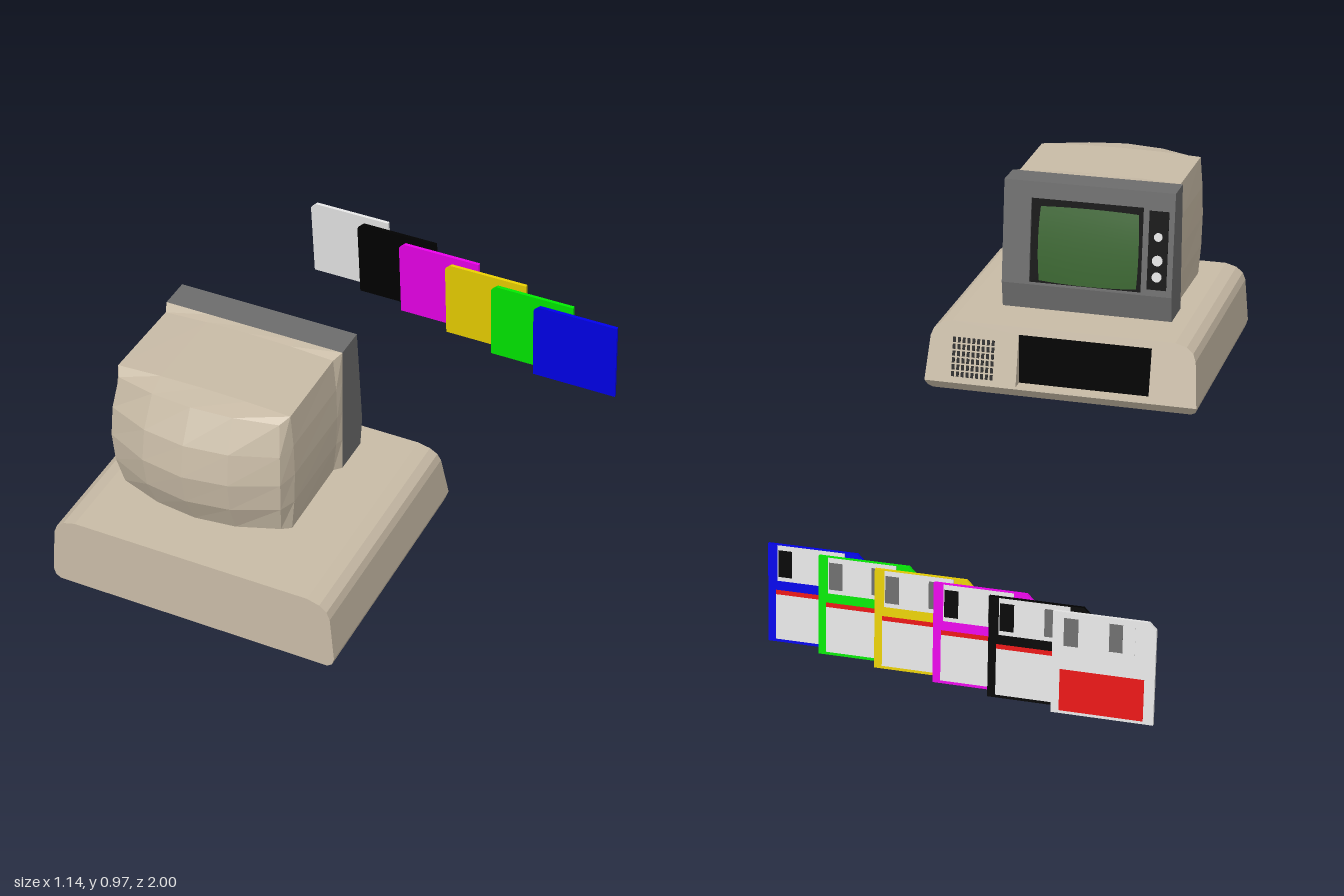
import * as THREE from 'three';

const mat = (name, color) => Object.assign(new THREE.MeshStandardMaterial({ color }), { name });
const beige = mat('beige', 0xc8bba6), grey = mat('dark grey', 0x6c6c6c), black = mat('black', 0x000000);
const glass = mat('screen green', 0x3a6630), silver = mat('silver', 0xe4e4e4), red = mat('red', 0xe61212);
const blue = mat('blue', 0x0000e7), green = mat('green', 0x00e700);
const yellow = mat('yellow', 0xe7cd00), magenta = mat('magenta', 0xe700e7);

function add(parent, name, geometry, material, x = 0, y = 0, z = 0) {
  const m = new THREE.Mesh(geometry, material);
  m.name = name;
  m.position.set(x, y, z);
  parent.add(m);
}

// Thin plate spanning x0..x1, y0..y1 and z0..z1
function plate(parent, name, material, x0, x1, y0, y1, z0, z1) {
  add(parent, name, new THREE.BoxGeometry(x1 - x0, y1 - y0, z1 - z0), material,
    (x0 + x1) / 2, (y0 + y1) / 2, (z0 + z1) / 2);
}

const rect = (x0, x1, y0, y1) => [[x0, y0], [x1, y0], [x1, y1], [x0, y1]];
const vectors = (pts) => pts.map(([x, y]) => new THREE.Vector2(x, y));
function outline(pts, hole) {
  const s = new THREE.Shape(vectors(pts));
  if (hole) s.holes.push(new THREE.Path(vectors(hole)));
  return s;
}

// Extrusion from a sloping face frontZ(y) to a flat plane backZ
function slopedBlock(shape, frontZ, backZ) {
  const g = new THREE.ExtrudeGeometry(shape, { depth: 1, bevelEnabled: false });
  const p = g.attributes.position;
  for (let i = 0; i < p.count; i++) p.setZ(i, p.getZ(i) < 0.5 ? frontZ(p.getY(i)) : backZ);
  g.computeVertexNormals();
  return g;
}

// Group whose xy plane lies on a sloping face; -z points outwards
function faceGroup(name, y, z, slope) {
  const g = new THREE.Group();
  g.name = name;
  g.position.set(0, y, z);
  g.rotation.x = Math.atan(slope);
  return g;
}

function systemUnit() {
  const unit = new THREE.Group();
  unit.name = 'systemUnit';
  const cx = 0.025, slope = 0.045 / 0.185;
  const mirror = (pts) => [
    ...pts.map(([x, y]) => [cx + x, y]),
    ...pts.slice().reverse().map(([x, y]) => [cx - x, y])];
  const section = mirror([[0.422, 0.37], [0.41, 0.505], [0.401, 0.528], [0.38, 0.545], [0.345, 0.555]]);
  // Case: sloping front with a drive opening, main body and tucked-in bottom edge
  add(unit, 'caseFront', slopedBlock(outline(section, rect(-0.25, 0.16, 0.376, 0.532)),
    (y) => 0.25 + (y - 0.37) * slope, 0.3), beige);
  add(unit, 'caseBody', slopedBlock(outline(section), () => 0.3, 1), beige);
  add(unit, 'caseBottom', slopedBlock(
    outline(mirror([[0.402, 0.34], [0.416, 0.35], [0.422, 0.37]])),
    (y) => 0.25 + (0.37 - y) * 0.8, 1), beige);
  // Upright drive bay set back in the opening
  plate(unit, 'driveBay', black, -0.25, 0.16, 0.376, 0.532, 0.291, 0.2995);

  // Vent slots
  const face = faceGroup('vent', 0.37, 0.25, slope);
  for (let c = 0; c < 9; c++)
    for (let r = 0; r < 6; r++) {
      const x = 0.233 + c * 0.0152, y = 0.02 + r * 0.021;
      plate(face, 'ventSlot', black, x, x + 0.009, y, y + 0.016, -0.001, 0.002);
    }
  unit.add(face);
  return unit;
}

// Faceted rear housing that bulges towards the back
function housing() {
  const g = new THREE.BoxGeometry(2, 2, 1, 4, 4, 3).toNonIndexed();
  const p = g.attributes.position;
  const zs = [0.51, 0.54, 0.8, 0], size = [1, 0.995, 1, 0.95], pinch = [0, 0.045, 0.04, 0.06];
  for (let i = 0; i < p.count; i++) {
    const u = p.getX(i), v = p.getY(i), k = Math.round((p.getZ(i) + 0.5) * 3);
    const a = 1 - u * u, b = 1 - v * v;
    const z = k < 3 ? zs[k] : 0.83 + 0.045 * a + 0.03 * b + 0.033 * a * b;
    p.setXYZ(i, -0.0225 + u * 0.2625 * size[k] * (1 - pinch[k] * v * v),
      0.7775 + v * 0.1975 * size[k] * (1 - pinch[k] * u * u), z);
  }
  g.computeVertexNormals();
  return g;
}

function monitor() {
  const mon = new THREE.Group();
  mon.name = 'monitor';
  const slope = 0.035 / 0.305, L = -0.285, R = 0.24;
  add(mon, 'housing', housing(), beige);

  // Bezel with a screen opening, and its chin
  add(mon, 'bezel', slopedBlock(outline(rect(L, R, 0.66, 0.975), rect(-0.19, 0.155, 0.665, 0.925)),
    (y) => 0.385 + (y - 0.67) * slope, 0.51), grey);
  add(mon, 'bezelChin', slopedBlock(outline(rect(L, R, 0.58, 0.66)),
    (y) => 0.384 + (0.66 - y) * 0.13, 0.51), grey);

  const face = faceGroup('monitorFace', 0.67, 0.385, slope);
  plate(face, 'screenSurround', black, -0.192, 0.157, -0.007, 0.259, 0.008, 0.016);
  // Bulging screen glass
  const g = new THREE.PlaneGeometry(0.31, 0.238, 12, 10).rotateY(Math.PI);
  const p = g.attributes.position;
  for (let i = 0; i < p.count; i++) {
    const u = p.getX(i) / 0.155, v = p.getY(i) / 0.119;
    p.setXYZ(i, p.getX(i) * (1 - 0.03 * v * v), p.getY(i) * (1 - 0.04 * u * u),
      -0.01 * (1 - u * u * 0.5 - v * v * 0.5));
  }
  g.computeVertexNormals();
  add(face, 'screen', g, glass, -0.024, 0.118, 0.006);

  // Control strip with low knobs
  plate(face, 'controlPanel', black, -0.268, -0.208, 0.01, 0.25, -0.001, 0.004);
  for (const [y, r] of [[0.172, 0.013], [0.1, 0.016], [0.05, 0.015]])
    add(face, 'knob', new THREE.CylinderGeometry(r, r, 0.006, 16).rotateX(Math.PI / 2),
      silver, -0.238, y, -0.003);
  mon.add(face);
  return mon;
}

// Floppy disk: label, shutter and slots on the side facing -z
function disk(name, body, slot, x, i) {
  const W = 0.277, H = 0.286, T = 0.005;
  const d = faceGroup(name, 0.012 - i * 0.0023, -0.9945 + i * 0.0395, 0.095);
  d.position.x = x;
  const shape = outline([[0, 0], [W, 0], [W, H], [0.02, H], [0, H - 0.02]]);
  add(d, 'diskBody', new THREE.ExtrudeGeometry(shape, { depth: 2 * T, bevelEnabled: false })
    .translate(0, 0, -T), body);
  const detail = (n, m, f0, f1, y0, y1, out) =>
    plate(d, n, m, W * (1 - f1), W * (1 - f0), y0, y1, -T - out, -T + 0.001);
  const plain = body === silver;
  detail('label', plain ? red : silver, 0.08, 0.9, 0.008, plain ? 0.125 : 0.14, 0.0006);
  if (!plain) detail('labelStripe', red, 0.08, 0.9, 0.14, 0.153, 0.0006);
  detail('shutter', silver, 0.1, 0.8, 0.18, H - 0.002, 0.0006);
  detail('slot', slot, 0.11, 0.25, 0.192, 0.27, 0.0012);
  detail('shutterWindow', grey, 0.55, 0.68, 0.192, 0.27, 0.0012);
  return d;
}

export function createModel() {
  const model = new THREE.Group();
  model.name = 'desktopComputer';
  model.add(systemUnit(), monitor());
  [['silverDisk', silver, grey, -0.57], ['blackDisk', black, black, -0.385],
    ['magentaDisk', magenta, black, -0.22], ['yellowDisk', yellow, grey, -0.042],
    ['greenDisk', green, grey, 0.132], ['blueDisk', blue, black, 0.292],
  ].forEach(([name, body, slot, x], i) => model.add(disk(name, body, slot, x, i)));
  return model;
}
